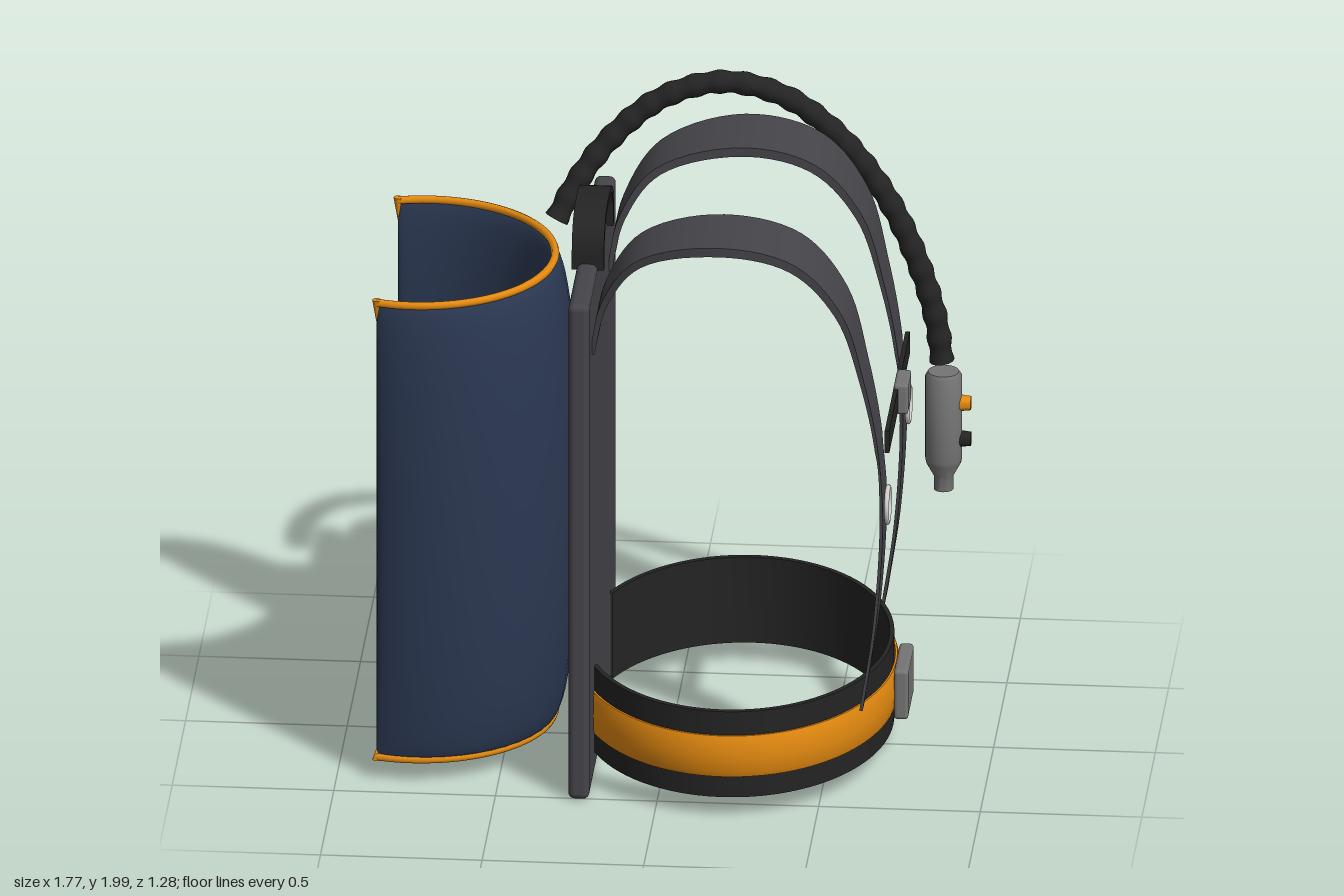
import * as THREE from 'three';
import { toCreasedNormals } from 'three/addons/utils/BufferGeometryUtils.js';
import { RoundedBoxGeometry } from 'three/addons/geometries/RoundedBoxGeometry.js';

const V = (x, y, z) => new THREE.Vector3(x, y, z);
const mat = (name, color, side = THREE.FrontSide) =>
  new THREE.MeshStandardMaterial({ name, color, side });

// Skin a list of closed cross-sections, with optional end caps
function loft(rings, caps = true, crease = 0.7) {
  const n = rings[0].length, last = (rings.length - 1) * n, index = [];
  for (let i = 0; i < rings.length - 1; i++) {
    for (let j = 0; j < n; j++) {
      const a = i * n + j, b = i * n + (j + 1) % n;
      index.push(a, b, b + n, a, b + n, a + n);
    }
  }
  if (caps) {
    for (let j = 1; j < n - 1; j++) {
      index.push(0, j + 1, j, last, last + j, last + j + 1);
    }
  }
  const g = new THREE.BufferGeometry().setFromPoints(rings.flat());
  g.setIndex(index);
  return toCreasedNormals(g, crease);
}

// Flat band along a path of [x, y, z, width, thickness]; "across" is its width axis
function ribbon(stations, across, steps) {
  const path = new THREE.CatmullRomCurve3(stations.map(s => V(s[0], s[1], s[2])));
  const size = new THREE.CatmullRomCurve3(stations.map(s => V(s[3], s[4], 0)));
  const rings = [];
  for (let i = 0; i <= steps; i++) {
    const p = path.getPoint(i / steps), s = size.getPoint(i / steps);
    const t = path.getTangent(i / steps).projectOnPlane(across).normalize();
    const n = across.clone().cross(t);
    rings.push([[1, -1], [1, 1], [-1, 1], [-1, -1]].map(([u, w]) =>
      p.clone().addScaledVector(n, u * s.y / 2).addScaledVector(across, w * s.x / 2)));
  }
  return loft(rings, true);
}

// Elliptical hoop, open at the back, from a closed [radius, y] profile
function hoop(profile, xScale, halfAngle) {
  const pts = [...profile, profile[0]].map(([r, y]) => new THREE.Vector2(r, y));
  const g = new THREE.LatheGeometry(pts, 80, Math.PI / 2 - halfAngle, 2 * halfAngle);
  g.scale(xScale, 1, 1);
  g.translate(0.21, 0, 0);
  return toCreasedNormals(g, 0.7);
}

export function createModel() {
  const model = new THREE.Group();
  model.name = 'backpack';
  const fabric = mat('dark grey fabric', 0x454449);
  const black = mat('black webbing', 0x242424, THREE.DoubleSide);
  const blue = mat('navy shell', 0x2b3852, THREE.DoubleSide);
  const orange = mat('orange trim', 0xe48a10, THREE.DoubleSide);
  const grey = mat('grey plastic', 0x747474);
  const silver = mat('pale metal', 0xcfcfcf);

  const add = (name, geometry, material, x = 0, y = 0, z = 0) => {
    const m = new THREE.Mesh(geometry, material);
    m.name = name;
    m.position.set(x, y, z);
    model.add(m);
    return m;
  };

  // Back board
  add('backBoard', new RoundedBoxGeometry(0.065, 1.66, 1.03, 3, 0.02), fabric, -0.2425, 0.83, 0);

  // Curved padded shell: an arc thickest in the middle, thin along every edge
  const cx = -0.77, R = 0.412, A = 1.83, low = 0.075, high = 1.6, nA = 40, nY = 28;
  const arc = (a, r, y) => V(cx + r * Math.cos(a), y, -r * Math.sin(a));
  const rings = [];
  for (let i = 0; i <= nY; i++) {
    const v = -Math.cos(Math.PI * i / nY), y = (low + high) / 2 + v * (high - low) / 2;
    const ring = [];
    for (let j = 0; j < 2 * nA; j++) {
      const phi = Math.PI * j / nA;
      const a = -A * Math.cos(phi);
      ring.push(arc(a, R + 0.076 * Math.sin(phi) * Math.sqrt(Math.max(0, 1 - v * v)), y));
    }
    rings.push(ring);
  }
  add('shell', loft(rings, false, 1.2), blue);

  // Orange piping on the upper and lower rims, tapering off at the corners
  for (const [y, label, len] of [[high, 'upper', 0.08], [low, 'lower', 0.04]]) {
    const pts = [];
    for (let i = 0; i <= 24; i++) pts.push(arc(-A + 2 * A * i / 24, R, y));
    add(label + 'Rim', new THREE.TubeGeometry(new THREE.CatmullRomCurve3(pts), 60, 0.013, 8), orange);
    const dir = y === high ? -1 : 1;
    for (const s of [-1, 1]) {
      const p = arc(s * A, R, y + dir * (len / 2 - 0.01));
      const tip = add(label + 'RimCorner', new THREE.ConeGeometry(0.014, len, 10), orange, p.x, p.y, p.z);
      if (dir < 0) tip.rotation.x = Math.PI;
    }
  }

  // Carry handle
  add('handle', ribbon([
    [-0.24, 1.64, 0.175, 0.1, 0.02], [-0.24, 1.73, 0.168, 0.1, 0.02],
    [-0.24, 1.78, 0.125, 0.1, 0.02], [-0.24, 1.802, 0, 0.1, 0.02],
    [-0.24, 1.78, -0.125, 0.1, 0.02], [-0.24, 1.73, -0.168, 0.1, 0.02],
    [-0.24, 1.64, -0.175, 0.1, 0.02]], V(1, 0, 0), 40), black);

  // Shoulder straps with a metal ring on each
  for (const [s, label] of [[1, 'left'], [-1, 'right']]) {
    add(label + 'ShoulderStrap', ribbon([
      [-0.21, 1.45, 0.32 * s, 0.15, 0.015], [-0.17, 1.63, 0.335 * s, 0.18, 0.02],
      [-0.06, 1.79, 0.36 * s, 0.23, 0.025], [0.19, 1.86, 0.39 * s, 0.265, 0.03],
      [0.42, 1.81, 0.39 * s, 0.255, 0.028], [0.56, 1.65, 0.385 * s, 0.225, 0.022],
      [0.63, 1.42, 0.38 * s, 0.185, 0.014], [0.675, 1.18, 0.375 * s, 0.16, 0.01],
      [0.69, 0.95, 0.378 * s, 0.16, 0.01], [0.67, 0.6, 0.395 * s, 0.155, 0.01],
      [0.63, 0.32, 0.412 * s, 0.15, 0.01]], V(0, 0, 1), 70), fabric);
    add(label + 'Ring', new THREE.TorusGeometry(0.055, 0.008, 8, 32), silver, 0.705, 0.975, 0.39 * s)
      .rotation.y = Math.PI / 2;
  }

  // Chest strap and clip
  add('chestStrap', new THREE.BoxGeometry(0.014, 0.075, 0.77), black, 0.702, 1.183, 0);
  add('chestClip', new RoundedBoxGeometry(0.045, 0.1, 0.13, 2, 0.01), grey, 0.718, 1.185, 0);

  // Waist belt with a bulged orange band and a buckle
  add('waistBelt', hoop([[0.608, 0.068], [0.608, 0.355], [0.59, 0.355], [0.59, 0.068]], 0.79, 2.66), black);
  add('beltBand', hoop([[0.628, 0.145], [0.636, 0.165], [0.641, 0.213], [0.636, 0.26],
    [0.628, 0.282], [0.62, 0.282], [0.62, 0.145]], 0.78, 2.62), orange);
  add('beltBuckle', new RoundedBoxGeometry(0.045, 0.165, 0.225, 2, 0.012), grey, 0.722, 0.212, 0);

  // Ribbed hose arching over the shoulder
  const hosePath = new THREE.CatmullRomCurve3([
    V(-0.39, 1.53, -0.455), V(-0.33, 1.64, -0.495), V(-0.23, 1.77, -0.54), V(-0.08, 1.895, -0.57),
    V(0.11, 1.955, -0.58), V(0.3, 1.915, -0.582), V(0.47, 1.79, -0.58), V(0.62, 1.59, -0.578),
    V(0.72, 1.37, -0.575), V(0.775, 1.18, -0.573), V(0.793, 1.045, -0.573)]);
  const N = 160, frames = hosePath.computeFrenetFrames(N);
  const hose = [];
  for (let i = 0; i <= N; i++) {
    const p = hosePath.getPointAt(i / N), r = 0.036 + 0.003 * Math.cos(i / N * Math.PI * 2 * 25);
    hose.push(Array.from({ length: 12 }, (_, k) => p.clone()
      .addScaledVector(frames.normals[i], r * Math.cos(k * Math.PI / 6))
      .addScaledVector(frames.binormals[i], r * Math.sin(k * Math.PI / 6))));
  }
  add('hose', loft(hose), black);

  // Hand control at the end of the hose, with two buttons
  const body = [[0, 0.615], [0.03, 0.615], [0.03, 0.66], [0.054, 0.705], [0.057, 0.72],
    [0.057, 0.995], [0.048, 1.01], [0, 1.01]].map(([r, y]) => new THREE.Vector2(r, y));
  add('handControl', toCreasedNormals(new THREE.LatheGeometry(body, 24), 0.6), grey, 0.798, 0, -0.573);
  for (const [y, m, label] of [[0.905, orange, 'upperButton'], [0.785, black, 'lowerButton']]) {
    const g = new THREE.CylinderGeometry(0.022, 0.028, 0.05, 20);
    add(label, toCreasedNormals(g, 0.6), m, 0.858, y, -0.573).rotation.z = -Math.PI / 2;
  }
  return model;
}
